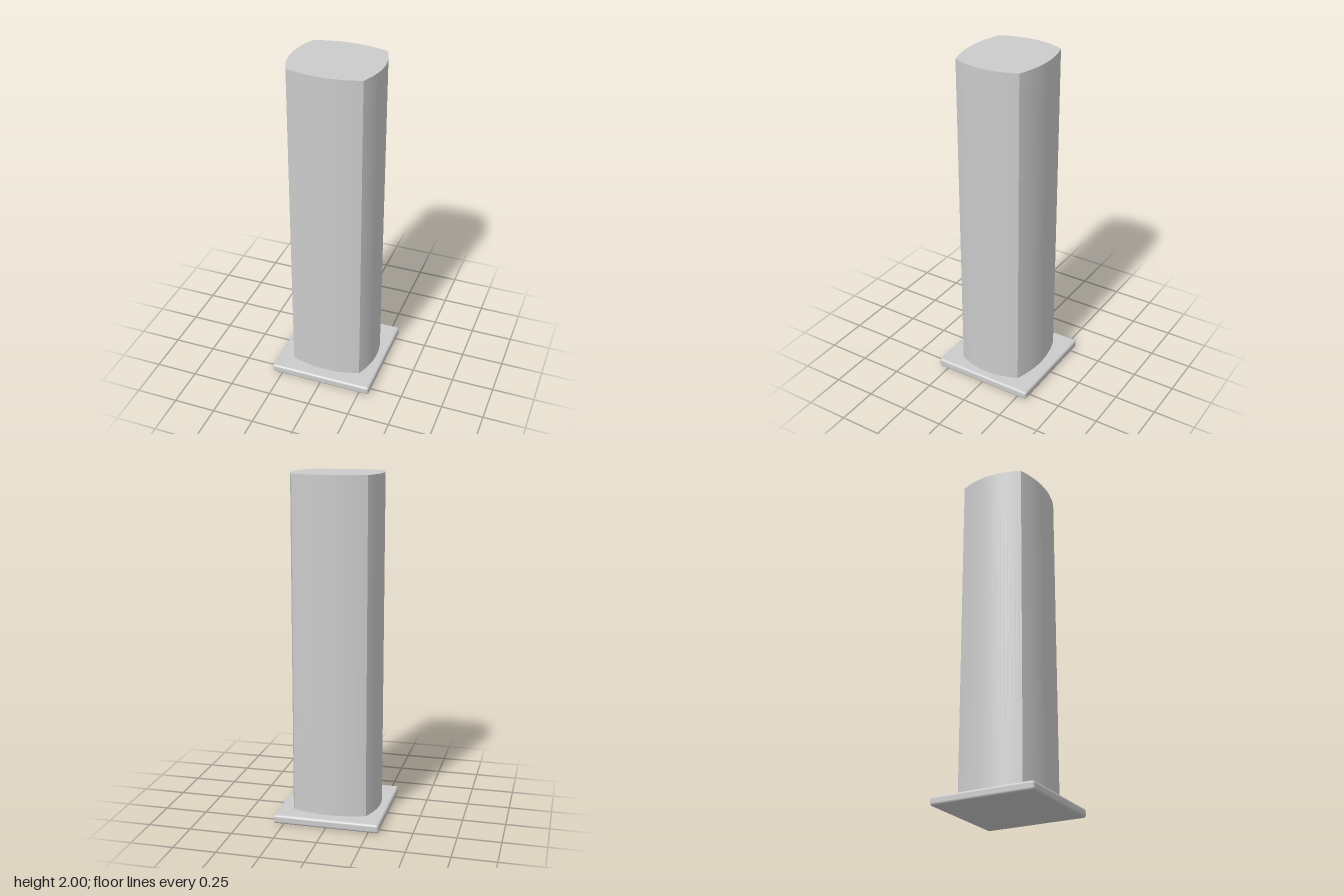
import * as THREE from 'three';
import { toCreasedNormals } from 'three/addons/utils/BufferGeometryUtils.js';
import { RoundedBoxGeometry } from 'three/addons/geometries/RoundedBoxGeometry.js';

const BASE_SIZE = 0.622, BASE_HEIGHT = 0.052, BASE_RADIUS = 0.015;
const CORNER_X = 0.213, CORNER_Z = 0.196; // column corners
const BULGE_X = 0.26, BULGE_Z = 0.235;    // middle of each bowed side
const TOP = 2;

export function createModel() {
  const model = new THREE.Group();
  model.name = 'column';
  const material = new THREE.MeshStandardMaterial({ color: 0xcccccc });

  // Square base plate with softened edges
  const base = new THREE.Mesh(
    new RoundedBoxGeometry(BASE_SIZE, BASE_HEIGHT, BASE_SIZE, 4, BASE_RADIUS), material);
  base.name = 'basePlate';
  base.position.y = BASE_HEIGHT / 2;
  model.add(base);

  // Shaft: four bowed sides meeting at sharp vertical corners
  const cx = 2 * BULGE_X - CORNER_X, cz = 2 * BULGE_Z - CORNER_Z;
  const section = new THREE.Shape();
  section.moveTo(CORNER_X, -CORNER_Z);
  section.quadraticCurveTo(cx, 0, CORNER_X, CORNER_Z);
  section.quadraticCurveTo(0, cz, -CORNER_X, CORNER_Z);
  section.quadraticCurveTo(-cx, 0, -CORNER_X, -CORNER_Z);
  section.quadraticCurveTo(0, -cz, CORNER_X, -CORNER_Z);

  const shaftGeometry = new THREE.ExtrudeGeometry(section, {
    depth: TOP - BASE_HEIGHT, bevelEnabled: false, curveSegments: 20,
  });
  shaftGeometry.rotateX(-Math.PI / 2);
  const shaft = new THREE.Mesh(toCreasedNormals(shaftGeometry, 0.5), material);
  shaft.name = 'shaft';
  shaft.position.y = BASE_HEIGHT;
  model.add(shaft);

  return model;
}
